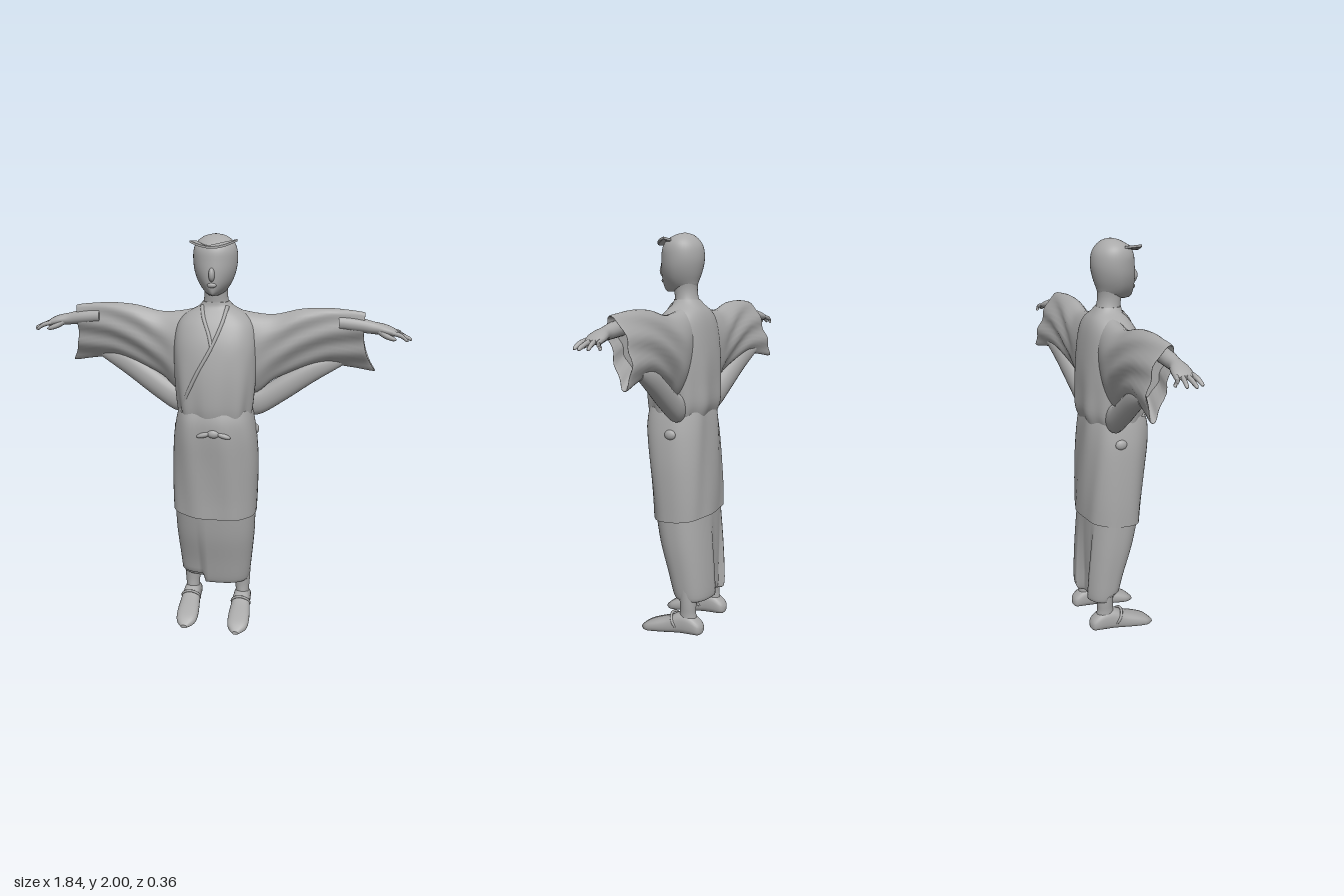
import * as THREE from 'three';

const grey = new THREE.MeshStandardMaterial({ color: 0xa9a9a9, side: THREE.DoubleSide });
grey.name = 'grey clay';

function add(parent, name, geometry) {
  const mesh = new THREE.Mesh(geometry, grey);
  mesh.name = name;
  parent.add(mesh);
  return mesh;
}

// Smooth (Catmull-Rom) value between rows of cross-section numbers
function sample(rows, t) {
  const f = t * (rows.length - 1), i = Math.min(Math.floor(f), rows.length - 2), s = f - i;
  const row = k => rows[Math.max(0, Math.min(rows.length - 1, k))];
  return rows[i].map((b, c) => {
    const a = row(i - 1)[c], d = row(i + 1)[c], e = row(i + 2)[c];
    return b + 0.5 * s * (d - a + s * (2 * a - 5 * b + 4 * d - e + s * (3 * (b - d) + e - a)));
  });
}

// Skin closed rings; place(row, angle) returns [x, y, z]. Ends are capped.
function loft(rows, place, segs = 40, sub = 4) {
  const rings = (rows.length - 1) * sub, pos = [], idx = [];
  const ring = t => {
    const r = sample(rows, t);
    for (let j = 0; j < segs; j++) pos.push(...place(r, (j / segs) * Math.PI * 2));
  };
  for (let i = 0; i <= rings; i++) ring(i / rings);
  for (let i = 0; i < rings; i++) for (let j = 0; j < segs; j++) {
    const a = i * segs + j, b = i * segs + (j + 1) % segs;
    idx.push(a, a + segs, b, b, a + segs, b + segs);
  }
  for (const end of [0, 1]) {
    const start = pos.length / 3;
    ring(end);
    const mid = [0, 0, 0];
    for (let j = 0; j < segs; j++) for (let k = 0; k < 3; k++) mid[k] += pos[(start + j) * 3 + k] / segs;
    pos.push(...mid);
    for (let j = 0; j < segs; j++) {
      const a = start + j, b = start + (j + 1) % segs;
      idx.push(start + segs, ...(end ? [b, a] : [a, b]));
    }
  }
  // Turn the skin outward if its signed volume is negative
  let volume = 0;
  const p = i => new THREE.Vector3().fromArray(pos, i * 3);
  for (let i = 0; i < idx.length; i += 3) volume += p(idx[i]).dot(p(idx[i + 1]).cross(p(idx[i + 2])));
  if (volume < 0) idx.reverse();
  const g = new THREE.BufferGeometry();
  g.setAttribute('position', new THREE.Float32BufferAttribute(pos, 3));
  g.setIndex(idx);
  g.computeVertexNormals();
  return g;
}

const power = (v, e) => Math.sign(v) * Math.abs(v) ** e;

// Upright section: [y, centre x, half width, front z, back z]
const upright = (e, fold = () => [0, 0, 0]) => ([y, cx, rx, zf, zb], a) => {
  const c = Math.cos(a), s = Math.sin(a), f = fold(c, s, y);
  return [cx + rx * power(c, e) + f[0], y + f[1], (zf + zb) / 2 + (zf - zb) / 2 * power(s, e) + f[2]];
};

const oval = ([x, cy, cz, ry, rz], a) => [x, cy + ry * Math.cos(a), cz + rz * Math.sin(a)];

function tube(points, radius) {
  const curve = new THREE.CatmullRomCurve3(points.map(q => new THREE.Vector3(...q)));
  return new THREE.TubeGeometry(curve, 20, radius, 8);
}

const torsoRows = [
  [1.14, 0, 0.175, 0.155, -0.135], [1.2, 0, 0.185, 0.165, -0.155], [1.3, 0, 0.195, 0.166, -0.155],
  [1.4, 0, 0.2, 0.158, -0.152], [1.5, 0, 0.2, 0.14, -0.142], [1.58, 0, 0.185, 0.11, -0.128],
  [1.63, 0, 0.145, 0.08, -0.11], [1.665, 0, 0.085, 0.055, -0.085], [1.69, 0, 0.062, 0.05, -0.065]];

// Depth of the chest surface at x, y
function chestZ(x, y) {
  let i = 0;
  while (i < torsoRows.length - 2 && torsoRows[i + 1][0] < y) i++;
  const a = torsoRows[i], b = torsoRows[i + 1], s = (y - a[0]) / (b[0] - a[0]);
  const [, , rx, zf, zb] = a.map((v, k) => v + (b[k] - v) * s);
  const u = Math.min(1, Math.abs(x) / rx) ** (2 / 0.8);
  return (zf + zb) / 2 + (zf - zb) / 2 * (1 - u) ** 0.4;
}

function buildHead(model) {
  const head = new THREE.Group();
  head.name = 'head';
  model.add(head);
  add(head, 'neck', loft([[1.64, 0, 0.08, 0.05, -0.085], [1.69, 0, 0.06, 0.05, -0.065],
    [1.74, 0, 0.056, 0.055, -0.058], [1.8, 0, 0.065, 0.05, -0.065]], upright(1), 28));
  // Skull with a narrowed face and pointed chin
  const face = upright(1, (c, s, y) => [s > 0 ? -c * s * 0.025 * Math.max(0, (1.92 - y) / 0.2) : 0, 0, 0]);
  add(head, 'skull', loft([[1.725, 0, 0.02, 0.1, 0.04], [1.74, 0, 0.05, 0.113, -0.045], [1.78, 0, 0.078, 0.121, -0.066],
    [1.83, 0, 0.097, 0.123, -0.082], [1.88, 0, 0.104, 0.119, -0.09], [1.93, 0, 0.101, 0.112, -0.085],
    [1.965, 0, 0.085, 0.09, -0.066], [1.99, 0, 0.05, 0.05, -0.036], [2, 0, 0.008, 0.012, -0.004]], face));
  const nose = add(head, 'nose', new THREE.SphereGeometry(1, 14, 10));
  nose.scale.set(0.015, 0.032, 0.022);
  nose.position.set(0, 1.825, 0.12);
  const lips = add(head, 'lips', new THREE.SphereGeometry(1, 12, 8));
  lips.scale.set(0.022, 0.012, 0.012);
  lips.position.set(0, 1.777, 0.116);
  // Brim: thin crescent lifted at both tips
  const shape = new THREE.Shape();
  shape.moveTo(-0.085, 0.04);
  shape.lineTo(-0.1, 0.118);
  shape.quadraticCurveTo(-0.05, 0.122, 0, 0.138);
  shape.quadraticCurveTo(0.08, 0.13, 0.108, 0.06);
  shape.lineTo(0.088, 0.03);
  shape.quadraticCurveTo(0, 0.1, -0.085, 0.04);
  const brim = new THREE.ExtrudeGeometry(shape, { depth: 0.01, bevelEnabled: false, curveSegments: 12 });
  brim.rotateX(Math.PI / 2);
  const v = brim.attributes.position;
  for (let i = 0; i < v.count; i++) v.setY(i, v.getY(i) + 1.952 + 2.4 * v.getX(i) ** 2);
  brim.computeVertexNormals();
  add(head, 'brim', brim);
}

function buildArm(side) {
  const arm = new THREE.Group();
  arm.name = side > 0 ? 'leftArm' : 'rightArm';
  // Wide sleeve: [x, top y, bottom y, top z, bottom z, half depth, pull of the lower tip]
  const sleeve = ([x, ty, by, tz, bz, d, tip], a) => {
    const u = (1 - Math.cos(a)) / 2, s = Math.sin(a);
    const crease = 0.008 * Math.sin(u * 16 + x * 14) * Math.min(1, Math.max(0, x - 0.15) * 5);
    return [x + tip * u ** 3 - 0.1 * Math.max(0, tip) * s * s, ty + (by - ty) * u,
      tz + (bz - tz) * u + (d * (1 - 0.3 * u) + crease) * s];
  };
  add(arm, 'sleeve', loft([
    [0.06, 1.66, 1.3, -0.03, -0.02, 0.085, 0], [0.18, 1.635, 1.24, -0.035, -0.03, 0.1, 0],
    [0.28, 1.63, 1.31, -0.035, -0.05, 0.085, 0], [0.4, 1.658, 1.36, -0.03, -0.07, 0.075, 0],
    [0.52, 1.666, 1.385, -0.03, -0.09, 0.066, 0], [0.62, 1.66, 1.37, -0.03, -0.11, 0.06, 0.03],
    [0.69, 1.652, 1.352, -0.025, -0.125, 0.055, 0.06], [0.692, 1.645, 1.365, -0.025, -0.122, 0.047, 0.055],
    [0.62, 1.64, 1.42, -0.025, -0.09, 0.04, 0]], sleeve, 40, 5));
  // Slanting drape from the sleeve's lower edge to the waist
  add(arm, 'sleeveDrape', loft([[0.14, 1.19, -0.05, 0.07, 0.035], [0.22, 1.2, -0.055, 0.07, 0.04],
    [0.34, 1.275, -0.065, 0.07, 0.04], [0.47, 1.355, -0.08, 0.06, 0.035], [0.6, 1.405, -0.1, 0.03, 0.02]], oval, 20));
  add(arm, 'hand', loft([[0.58, 1.6, -0.025, 0.035, 0.035], [0.68, 1.59, -0.025, 0.034, 0.034],
    [0.74, 1.58, -0.025, 0.029, 0.03], [0.79, 1.572, -0.03, 0.026, 0.042], [0.83, 1.562, -0.035, 0.02, 0.044],
    [0.855, 1.555, -0.036, 0.008, 0.035]], oval, 20));
  for (let i = 0; i < 4; i++) {
    const z = -0.068 + i * 0.022, tip = [0.875, 0.905, 0.918, 0.9][i], spread = (i - 1.5) * 0.006;
    add(arm, 'finger', loft([[0.825, 1.562, z, 0.011, 0.011], [0.865, 1.552, z + spread, 0.011, 0.01],
      [tip - 0.01, 1.535, z + spread * 2, 0.009, 0.008], [tip, 1.53, z + spread * 2, 0.002, 0.002]], oval, 10));
  }
  add(arm, 'thumb', loft([[0.755, 1.572, -0.01, 0.014, 0.012], [0.79, 1.552, 0.006, 0.014, 0.012],
    [0.83, 1.538, 0.014, 0.011, 0.01], [0.846, 1.534, 0.015, 0.002, 0.002]], oval, 10));
  arm.scale.x = side;
  return arm;
}

function buildLeg(side) {
  const leg = new THREE.Group();
  leg.name = side > 0 ? 'leftLeg' : 'rightLeg';
  add(leg, 'shin', loft([[0.08, 0, 0.038, -0.035, -0.135], [0.14, 0, 0.036, -0.04, -0.125],
    [0.2, 0, 0.04, -0.04, -0.125], [0.4, 0, 0.05, -0.02, -0.12]], upright(1), 20));
  // Foot: [z, centre x, half width, sole y, top y]
  const foot = ([z, cx, w, y0, y1], a) =>
    [cx + w * power(Math.cos(a), 0.8), (y0 + y1) / 2 + (y1 - y0) / 2 * power(Math.sin(a), 0.75), z];
  add(leg, 'foot', loft([[-0.165, 0, 0.012, 0.05, 0.075], [-0.15, 0, 0.036, 0.035, 0.1], [-0.1, 0, 0.044, 0.03, 0.135],
    [-0.04, 0, 0.046, 0.025, 0.135], [0.02, 0.002, 0.052, 0.018, 0.105], [0.09, 0.004, 0.056, 0.01, 0.078],
    [0.145, 0.004, 0.048, 0.004, 0.052], [0.18, 0, 0.015, 0.004, 0.022]], foot, 24));
  const strap = add(leg, 'footStrap', new THREE.TorusGeometry(0.047, 0.007, 8, 24));
  strap.position.set(0, 0.085, -0.02);
  strap.rotation.x = 0.5;
  leg.position.set(side > 0 ? 0.13 : -0.14, side > 0 ? 0 : 0.01, 0);
  return leg;
}

export function createModel() {
  const model = new THREE.Group();
  model.name = 'robedFigure';

  // Bloused robe top with soft gathers near the belt
  const gather = (c, s, y) => {
    const k = 0.006 * Math.max(0, (1.45 - y) / 0.3) * Math.sin(Math.atan2(s, c) * 9);
    return [k * c, 0, k * s];
  };
  add(model, 'robeTop', loft(torsoRows, upright(0.8, gather), 72));
  const onChest = pts => pts.map(([x, y]) => [x, y, chestZ(x, y) - 0.004]);
  add(model, 'outerLapel', tube(onChest([[0.06, 1.67], [0.045, 1.6], [0, 1.49], [-0.07, 1.36], [-0.12, 1.25], [-0.145, 1.17]]), 0.01));
  add(model, 'innerLapel', tube(onChest([[-0.06, 1.67], [-0.045, 1.62], [-0.015, 1.55], [0, 1.5]]), 0.01));

  // Overskirt from the belt to above the knee
  const sag = (c, s, y) => [0, y < 0.66 ? -0.015 * s - 0.006 * c : 0, 0.004 * Math.sin(c * 9 + y * 6)];
  add(model, 'overskirt', loft([[0.63, -0.005, 0.212, 0.128, -0.165], [0.75, -0.003, 0.215, 0.137, -0.163],
    [0.9, 0, 0.214, 0.152, -0.157], [1.03, 0, 0.206, 0.166, -0.15], [1.12, 0, 0.192, 0.168, -0.143],
    [1.18, 0, 0.178, 0.155, -0.135]], upright(0.8, sag), 56));
  // Underskirt whose wrapped edge leaves a step in front and a pleat behind
  const wrap = (c, s, y) => {
    const low = Math.min(1, Math.max(0, (0.66 - y) / 0.35));
    if (s > 0 && c < -0.25) return [0, 0.025 * low * (y < 0.25 ? 1 : 0), -0.022 * low * s];
    if (s < 0 && c > -0.5 && c < 0) return [0, 0, 0.03 * low];
    return [0, 0, 0];
  };
  add(model, 'underskirt', loft([[0.205, -0.01, 0.165, 0.012, -0.17], [0.23, -0.01, 0.178, 0.028, -0.18],
    [0.35, -0.008, 0.19, 0.057, -0.176], [0.5, -0.006, 0.202, 0.095, -0.165], [0.66, -0.005, 0.206, 0.12, -0.15]],
    upright(0.8, wrap), 72));

  // Front knot and small side ties
  const knot = add(model, 'beltKnot', new THREE.SphereGeometry(1, 14, 10));
  knot.scale.set(0.032, 0.022, 0.02);
  knot.position.set(0.015, 1.08, 0.162);
  for (const side of [-1, 1]) {
    const loop = add(model, 'knotLoop', new THREE.SphereGeometry(1, 14, 10));
    loop.scale.set(0.04, 0.013, 0.014);
    loop.position.set(0.015 + side * 0.045, 1.073, 0.163);
    loop.rotation.z = side * -0.3;
    const tie = add(model, 'sideTie', new THREE.SphereGeometry(1, 12, 8));
    tie.scale.set(0.016, 0.025, 0.03);
    tie.position.set(side * 0.197, 1.06, -0.02);
    model.add(buildArm(side), buildLeg(side));
  }
  buildHead(model);
  return model;
}
